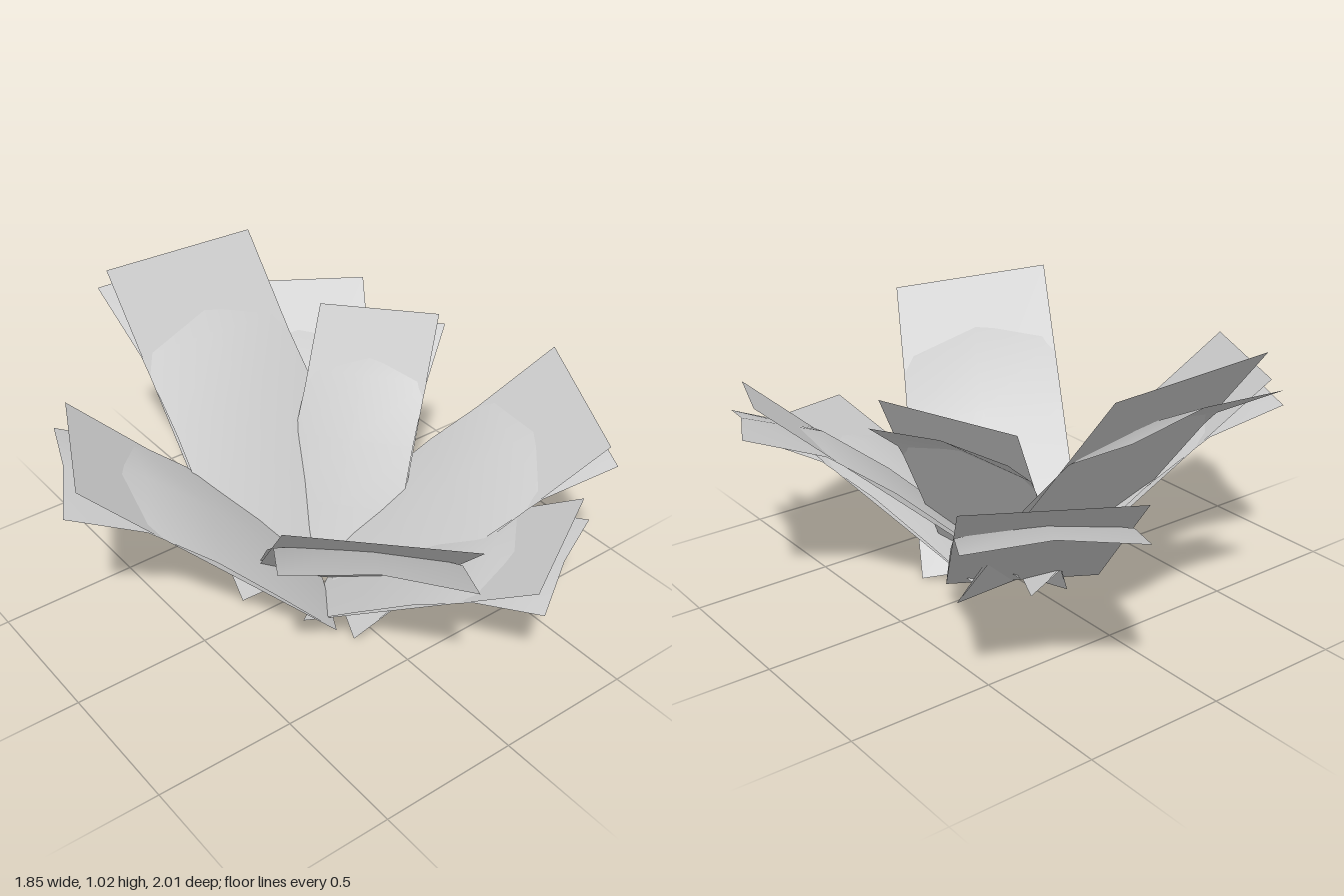
import * as THREE from 'three';

// Each leaf: left tip corner, right tip corner, middle of the base edge
const LEAVES = [
  { name: 'backLeaf', left: [-0.30, 1.03, -0.84], right: [0.305, 1.01, -0.84], base: [0, 0.04, -0.05] },
  { name: 'backLeftLeaf', left: [0.28, 0.74, -0.97], right: [0.74, 0.735, -0.69], base: [0.04, 0.05, -0.08] },
  { name: 'upperLeftLeaf', left: [0.385, 0.82, -0.50], right: [0.62, 0.87, -0.11], base: [0.05, 0.05, 0] },
  { name: 'sideLeftLeaf', left: [0.875, 0.80, 0.22], right: [0.68, 0.71, 0.69], base: [0.01, 0.06, 0.08] },
  { name: 'frontLeftLeaf', left: [0.58, 0.545, 0.69], right: [0.175, 0.48, 0.90], base: [0.03, 0.05, 0.03] },
  { name: 'frontRightLeaf', left: [-0.14, 0.835, 0.96], right: [-0.61, 0.92, 0.63], base: [0.035, 0.048, 0.045] },
  { name: 'sideRightLeaf', left: [-0.885, 0.775, -0.07], right: [-0.66, 0.775, -0.54], base: [-0.02, 0.05, 0.04] },
];

// Height of the arched blade over the flat one, from base to tip
const RIDGE = [0.01, 0.035, 0.045, 0.03, -0.07];
const EDGE = [0, 0.01, 0.015, -0.005, -0.095];
const ROWS = RIDGE.length - 1;

const material = new THREE.MeshStandardMaterial({ color: 0xcccccc, side: THREE.DoubleSide });

// Lays a plane grid between base and tip; arched blades are lifted along the leaf normal
function blade(name, leaf, arched) {
  const left = new THREE.Vector3(...leaf.left);
  const right = new THREE.Vector3(...leaf.right);
  const base = new THREE.Vector3(...leaf.base);
  const across = right.clone().sub(left);
  const along = left.clone().add(right).multiplyScalar(0.5).sub(base);
  const normal = across.clone().cross(along).normalize();
  const size = along.length();

  const geometry = arched ? new THREE.PlaneGeometry(1, 1, 2, ROWS) : new THREE.PlaneGeometry(1, 1);
  const position = geometry.attributes.position;
  for (let i = 0; i < position.count; i++) {
    const s = position.getX(i);
    const t = position.getY(i) + 0.5;
    const point = base.clone().addScaledVector(across, s);
    if (arched) {
      const heights = Math.abs(s) < 0.01 ? RIDGE : EDGE;
      point.addScaledVector(along, t - 0.025 * t ** 4);
      point.addScaledVector(normal, heights[Math.round(t * ROWS)] * size);
    } else {
      point.addScaledVector(along, t);
    }
    position.setXYZ(i, point.x, point.y, point.z);
  }
  geometry.computeVertexNormals();
  const mesh = new THREE.Mesh(geometry, material);
  mesh.name = name;
  return mesh;
}

export function createModel() {
  const plant = new THREE.Group();
  plant.name = 'leafRosette';
  for (const leaf of LEAVES) {
    const group = new THREE.Group();
    group.name = leaf.name;
    group.add(blade('flatBlade', leaf, false), blade('archedBlade', leaf, true));
    plant.add(group);
  }
  return plant;
}
